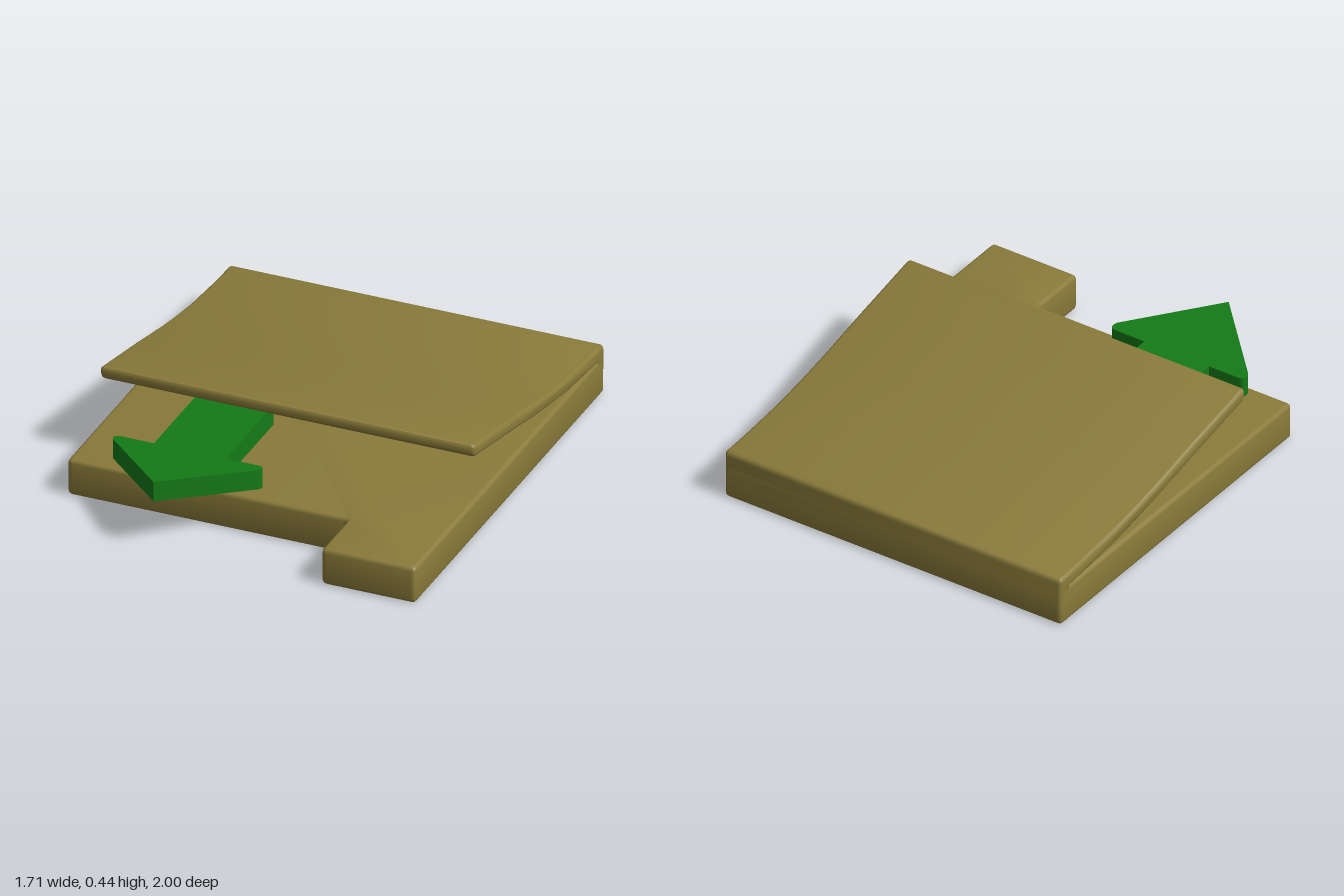
import * as THREE from 'three';
import { toCreasedNormals } from 'three/addons/utils/BufferGeometryUtils.js';

const HALF_WIDTH = 0.857;

// Closed outline whose corners [x, y, radius] are rounded off
function roundedShape(points) {
  const shape = new THREE.Shape();
  points.forEach(([x, y, r = 0], i) => {
    const p = new THREE.Vector2(x, y);
    const toward = ([qx, qy]) => new THREE.Vector2(qx, qy).sub(p).setLength(r).add(p);
    const a = toward(points.at(i - 1));
    const b = toward(points[(i + 1) % points.length]);
    if (i === 0) shape.moveTo(a.x, a.y);
    else shape.lineTo(a.x, a.y);
    if (r > 0) shape.quadraticCurveTo(x, y, b.x, b.y);
  });
  shape.closePath();
  return shape;
}

// Extrusion with rounded edges that stays inside the outline and the depth
function softExtrude(shape, depth, bevel) {
  return new THREE.ExtrudeGeometry(shape, {
    depth: depth - 2 * bevel, curveSegments: 4, bevelEnabled: true,
    bevelThickness: bevel, bevelSize: bevel, bevelOffset: -bevel, bevelSegments: 3,
  }).translate(0, 0, bevel);
}

export function createModel() {
  const model = new THREE.Group();
  model.name = 'openFolder';
  const card = new THREE.MeshStandardMaterial({ color: 0x8a7b3a });
  const green = new THREE.MeshStandardMaterial({ color: 0x147a17 });

  const add = (parent, name, geometry, material) => {
    const mesh = new THREE.Mesh(toCreasedNormals(geometry, 0.6), material);
    mesh.name = name;
    parent.add(mesh);
  };

  // Thick base with a tab at its front left corner
  const w = HALF_WIDTH, r = 0.022;
  const base = roundedShape([
    [-w, -0.714, r], [0.427, -0.714, r], [0.427, -0.994, r],
    [w, -0.994, r], [w, 1, r], [-w, 1, r],
  ]);
  add(model, 'folderBase', softExtrude(base, 0.17, 0.018).rotateX(-Math.PI / 2), card);

  // Curved cover: side profile in (z, y), swept across the width
  const cover = roundedShape([
    [-1, 0.1], [-0.93, 0.1], [-0.925, 0.164], [-0.8, 0.174], [-0.6, 0.192],
    [-0.43, 0.219], [-0.27, 0.249], [0, 0.307], [0.37, 0.381, 0.025],
    [0.372, 0.442, 0.025], [0, 0.368], [-0.27, 0.309], [-0.43, 0.28],
    [-0.6, 0.255], [-0.8, 0.238], [-0.92, 0.231], [-1, 0.229, 0.025],
  ]);
  add(model, 'folderCover',
    softExtrude(cover, 2 * w, 0.018).translate(0, 0, -w).rotateY(-Math.PI / 2), card);

  // Arrow coming out of the folder
  const arrow = new THREE.Group();
  arrow.name = 'arrow';
  model.add(arrow);
  const cx = -0.338, bottom = 0.182, thick = 0.093, bend = 0.615;
  add(arrow, 'arrowStem',
    new THREE.BoxGeometry(0.33, thick, 0.505).translate(cx, bottom + thick / 2, 0.3675), green);

  // Arrow head tilts upward from the bend to its tip
  const headShape = roundedShape([
    [cx - 0.34, -bend, 0.025], [cx - 0.34, -0.652, 0.016], [cx, -1],
    [cx + 0.34, -0.652, 0.016], [cx + 0.34, -bend, 0.025],
  ]);
  const head = new THREE.ExtrudeGeometry(headShape, { depth: thick, bevelEnabled: false, curveSegments: 4 })
    .rotateX(-Math.PI / 2).translate(0, bottom, 0);
  const pos = head.attributes.position;
  for (let i = 0; i < pos.count; i++) {
    pos.setY(i, pos.getY(i) + (pos.getZ(i) - bend) * 0.125);
  }
  add(arrow, 'arrowHead', head, green);

  return model;
}
